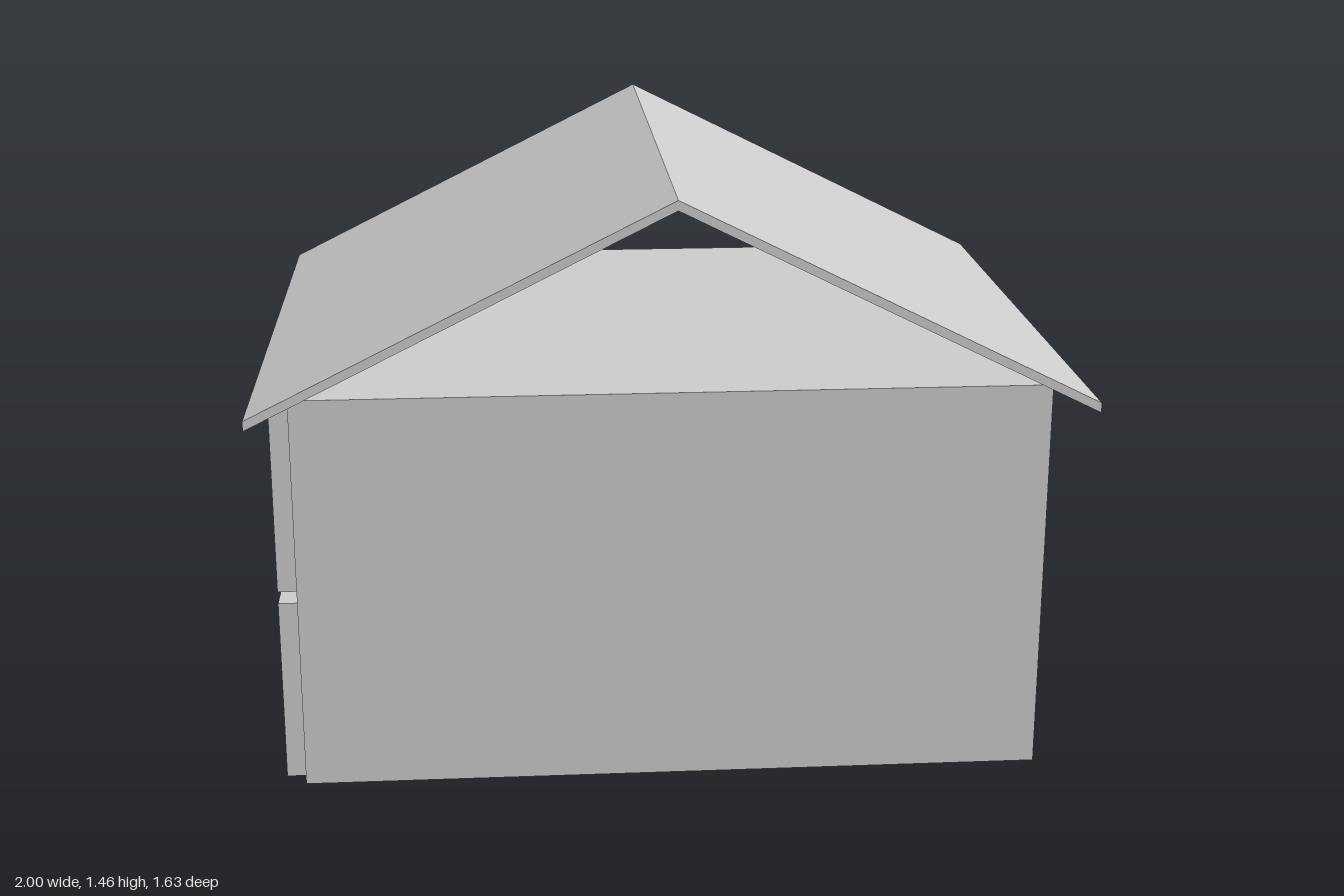
import * as THREE from 'three';

export function createModel() {
  const house = new THREE.Group();
  house.name = 'house';
  const grey = new THREE.MeshStandardMaterial({ color: 0xcccccc });
  grey.name = 'plain grey';

  // Box given by its minimum and maximum on each axis
  function slab(name, [x0, x1], [y0, y1], [z0, z1]) {
    const geo = new THREE.BoxGeometry(x1 - x0, y1 - y0, z1 - z0);
    geo.translate((x0 + x1) / 2, (y0 + y1) / 2, (z0 + z1) / 2);
    const mesh = new THREE.Mesh(geo, grey);
    mesh.name = name;
    house.add(mesh);
  }

  const W = 0.905, D = 0.73, inner = 0.685, H = 0.985;
  const storeys = [[0, 0.46], [0.49, 0.95]];

  // Front and back walls
  slab('frontWall', [-W, W], [0, H], [inner, D]);
  slab('backWall', [-W, W], [0, H], [-D, -inner]);

  // Floor between the storeys and closed ceiling
  slab('upperFloor', [-W, W], [storeys[0][1], storeys[1][0]], [-inner, inner]);
  slab('ceiling', [-W, W], [storeys[1][1], H], [-inner, inner]);

  // Side panels: proud of the frame at -x, recessed at +x
  for (const y of storeys) {
    slab('rightPanel', [-0.955, -W], y, [-inner, inner]);
    slab('leftPanel', [0.81, 0.855], y, [-inner, inner]);
  }

  // Thin folded gable roof, open at both ends
  const eave = 0.94, ridge = 1.44, t = 0.024, depth = 1.63;
  const profile = new THREE.Shape([
    [-1, eave], [0, ridge], [1, eave],
    [1, eave + t], [0, ridge + t], [-1, eave + t],
  ].map(([x, y]) => new THREE.Vector2(x, y)));
  const roofGeo = new THREE.ExtrudeGeometry(profile, { depth, bevelEnabled: false });
  roofGeo.translate(0, 0, -depth / 2);
  const roof = new THREE.Mesh(roofGeo, grey);
  roof.name = 'roof';
  house.add(roof);

  return house;
}
